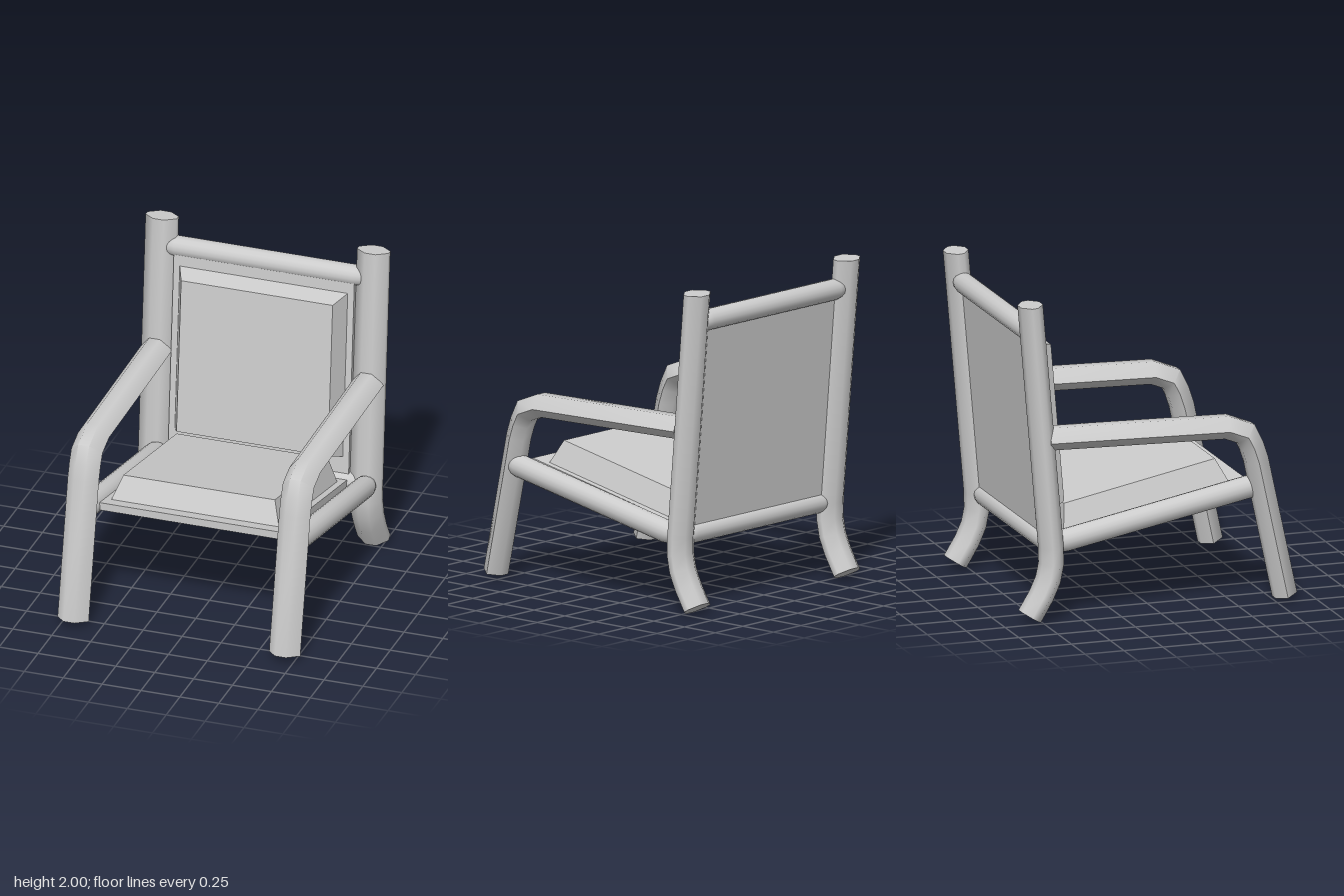
import * as THREE from 'three';
import { toCreasedNormals } from 'three/addons/utils/BufferGeometryUtils.js';
import { ConvexGeometry } from 'three/addons/geometries/ConvexGeometry.js';

const material = new THREE.MeshStandardMaterial({ color: 0xcccccc });

function part(group, name, geometry) {
  const mesh = new THREE.Mesh(geometry, material);
  mesh.name = name;
  group.add(mesh);
  return mesh;
}

// Sweeps a section of [x, d] points along a path of [z, y] points, with mitred joints.
// Positive d lies to the left of the direction of travel.
function sweep(section, path) {
  const pts = path.map(([z, y]) => new THREE.Vector2(z, y));
  const normals = pts.slice(1).map((p, i) => {
    const t = p.clone().sub(pts[i]).normalize();
    return new THREE.Vector2(-t.y, t.x);
  });
  const n = section.length, positions = [], index = [];
  pts.forEach((p, i) => {
    const a = normals[Math.max(i - 1, 0)], b = normals[Math.min(i, normals.length - 1)];
    const m = a.clone().add(b).normalize();
    m.divideScalar(m.dot(a));
    for (const [x, d] of section) positions.push(x, p.y + m.y * d, p.x + m.x * d);
  });
  for (let i = 0; i < pts.length - 1; i++) {
    for (let j = 0; j < n; j++) {
      const a = i * n + j, b = i * n + (j + 1) % n;
      index.push(a, b, b + n, a, b + n, a + n);
    }
  }
  // end caps
  const last = (pts.length - 1) * n;
  for (let j = 1; j < n - 1; j++) {
    index.push(0, j + 1, j, last, last + j, last + j + 1);
  }
  const geometry = new THREE.BufferGeometry();
  geometry.setAttribute('position', new THREE.Float32BufferAttribute(positions, 3));
  geometry.setIndex(index);
  return toCreasedNormals(geometry, 1.0);
}

// Round rail with tapered ends between two points
function rail(group, name, from, to, r) {
  const a = new THREE.Vector3(...from), dir = new THREE.Vector3(...to).sub(a);
  const len = dir.length();
  const profile = [[0, 0], [r * 0.62, 0], [r * 0.88, 0.025], [r, 0.07],
    [r, len - 0.07], [r * 0.88, len - 0.025], [r * 0.62, len], [0, len]]
    .map(([x, y]) => new THREE.Vector2(x, y));
  const mesh = part(group, name, toCreasedNormals(new THREE.LatheGeometry(profile, 16), 0.9));
  mesh.position.copy(a);
  mesh.quaternion.setFromUnitVectors(new THREE.Vector3(0, 1, 0), dir.normalize());
}

// Convex block from [halfWidth, y, z] corners, mirrored in x
function block(group, name, corners) {
  const pts = corners.flatMap(([x, y, z]) =>
    [new THREE.Vector3(x, y, z), new THREE.Vector3(-x, y, z)]);
  part(group, name, new ConvexGeometry(pts));
}

export function createModel() {
  const chair = new THREE.Group();
  chair.name = 'armchair';

  // Flattened eight-sided posts, and six-sided arms with a sharp side edge
  const postSection = [[0.035, -0.07], [0.1, -0.02], [0.1, 0.02], [0.035, 0.07],
    [-0.035, 0.07], [-0.1, 0.02], [-0.1, -0.02], [-0.035, -0.07]];
  const armSection = [[0.035, -0.07], [0.1, -0.012], [0.035, 0.07],
    [-0.035, 0.07], [-0.1, -0.012], [-0.035, -0.07]];
  const postPath = [[-0.818, 0.04], [-0.745, 0.16], [-0.70, 0.26], [-0.68, 0.36],
    [-0.682, 0.47], [-0.815, 1.995]];
  const armPath = [[0.82, 0.035], [0.635, 0.9], [0.605, 0.99], [0.565, 1.07],
    [0.44, 1.12], [-0.71, 1.148]];

  for (const [side, s] of [['left', 1], ['right', -1]]) {
    part(chair, side + 'BackPost', sweep(postSection, postPath)).position.x = 0.68 * s;
    // Front leg bends over into the armrest
    part(chair, side + 'LegAndArm',
      sweep(armSection.map(([x, d]) => [x, -d]).reverse(), armPath)).position.x = 0.68 * s;
    const x = s > 0 ? 0.70 : -0.645;
    rail(chair, side + 'SeatRail', [x, 0.735, 0.68], [x, 0.475, -0.65], 0.07);
  }

  // Cross rails
  rail(chair, 'topBackRail', [-0.65, 1.812, -0.798], [0.64, 1.812, -0.798], 0.065);
  rail(chair, 'lowerBackRail', [-0.65, 0.47, -0.665], [0.64, 0.47, -0.665], 0.065);

  // Seat and back panels
  block(chair, 'seatPanel', [[0.58, 0.75, 0.612], [0.58, 0.70, 0.612],
    [0.58, 0.495, -0.65], [0.58, 0.445, -0.65]]);
  block(chair, 'backPanel', [[0.58, 1.80, -0.745], [0.58, 1.80, -0.81],
    [0.58, 0.47, -0.635], [0.58, 0.47, -0.695]]);

  // Bevelled cushions
  block(chair, 'seatCushion', [[0.54, 0.725, 0.515], [0.54, 0.51, -0.55],
    [0.487, 0.87, 0.44], [0.487, 0.675, -0.53]]);
  block(chair, 'backCushion', [[0.54, 1.71, -0.738], [0.54, 0.64, -0.648],
    [0.487, 1.68, -0.613], [0.487, 0.69, -0.528]]);
  return chair;
}
